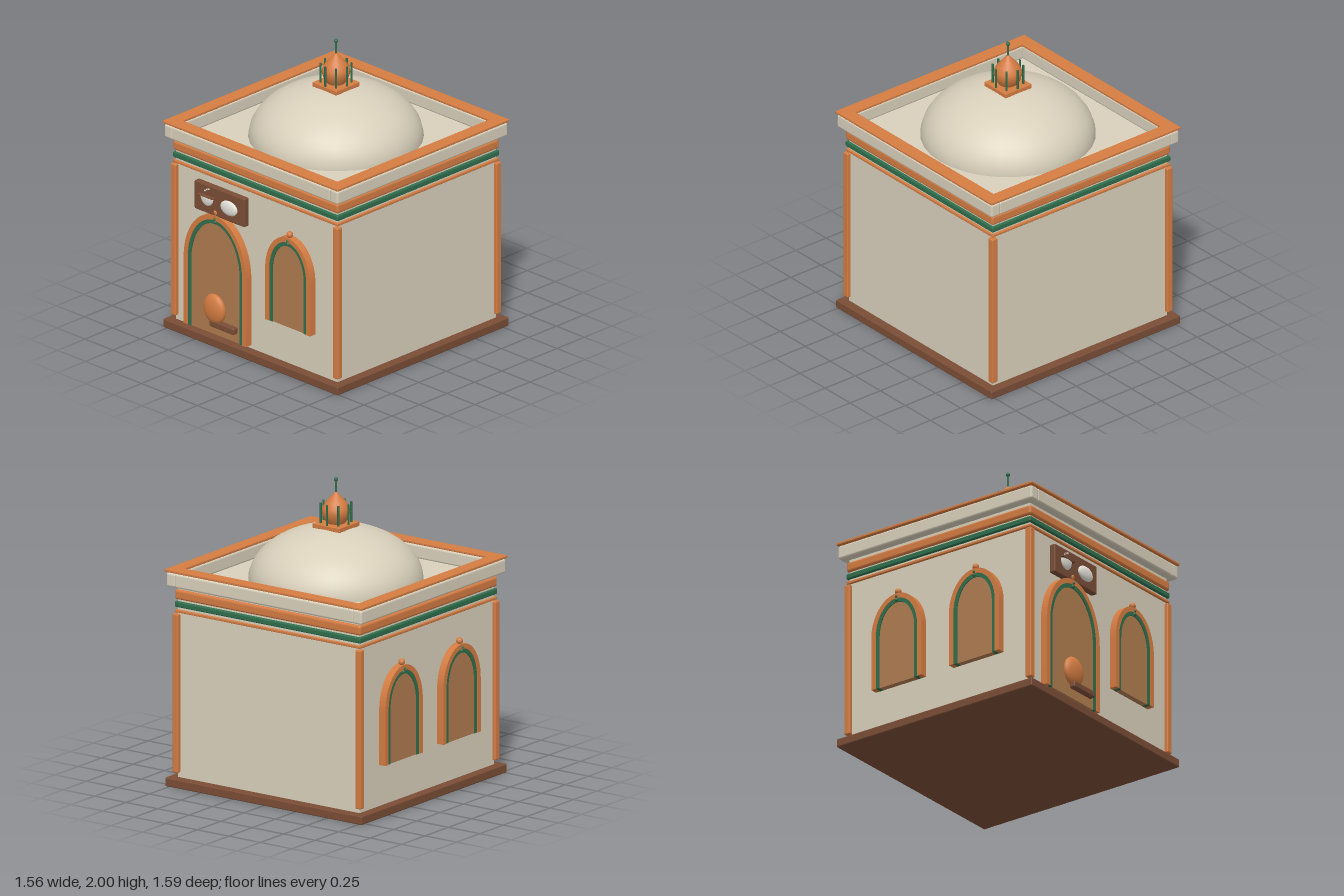
import * as THREE from 'three';
import { toCreasedNormals } from 'three/addons/utils/BufferGeometryUtils.js';
import { RoundedBoxGeometry } from 'three/addons/geometries/RoundedBoxGeometry.js';

const material = (name, color) => Object.assign(new THREE.MeshStandardMaterial({ color }), { name });
const plaster = material('plaster', 0xd9d0bb);
const terracotta = material('terracotta', 0xd47c42);
const green = material('green', 0x2f6e4c);
const brown = material('brown', 0x7a4d36);
const wood = material('wood', 0xb07c50);
const porcelain = material('porcelain', 0xe6e3da);

function add(parent, name, geometry, mat, x = 0, y = 0, z = 0) {
  const mesh = new THREE.Mesh(geometry, mat);
  mesh.name = name;
  mesh.position.set(x, y, z);
  parent.add(mesh);
  return mesh;
}

function subgroup(parent, name, x, y, z) {
  const g = new THREE.Group();
  g.name = name;
  g.position.set(x, y, z);
  parent.add(g);
  return g;
}

const box = (w, h, d, r = 0) =>
  r ? new RoundedBoxGeometry(w, h, d, 2, r) : new THREE.BoxGeometry(w, h, d);
const ball = (r) => new THREE.SphereGeometry(r, 16, 12);
const extrude = (shape, depth) => toCreasedNormals(
  new THREE.ExtrudeGeometry(shape, { depth, bevelEnabled: false, curveSegments: 20 }), 0.6);

// Solid arch, or an arch-shaped band open at the bottom when t is given
function arch(w, spring, rise, t = 0) {
  const s = new THREE.Shape();
  s.moveTo(w, 0);
  s.lineTo(w, spring);
  s.absellipse(0, spring, w, rise, 0, Math.PI, false);
  s.lineTo(-w, 0);
  if (t) {
    s.lineTo(t - w, 0);
    s.lineTo(t - w, spring);
    s.absellipse(0, spring, w - t, rise - t, Math.PI, 0, true);
    s.lineTo(w - t, 0);
  }
  s.closePath();
  return s;
}

// Framed arched opening standing out from a wall; faces local +z
function archedOpening(parent, name, w, spring, rise, x, y, z) {
  const g = subgroup(parent, name, x, y, z);
  const top = spring + rise;
  add(g, 'archFrame', extrude(arch(w, spring, rise, 0.034), 0.05), terracotta);
  add(g, 'archInlay', extrude(arch(w - 0.034, spring, rise - 0.034, 0.026), 0.046), green);
  add(g, 'archPanel', extrude(arch(w - 0.06, spring, rise - 0.06), 0.04), wood);
  add(g, 'crownBall', ball(0.022), terracotta, 0, top + 0.018, 0.03);
  add(g, 'upperStud', ball(0.009), green, 0, top - 0.023, 0.05);
  add(g, 'lowerStud', ball(0.012), green, 0, top - 0.046, 0.046);
  return g;
}

// Square ring built from four bars
function squareRing(parent, name, half, width, y, h, mat, r) {
  const g = subgroup(parent, name, 0, y, 0);
  for (const s of [-1, 1]) {
    add(g, name + 'Side', box(width, h, half * 2, r), mat, s * (half - width / 2), 0, 0);
    add(g, name + 'End', box((half - width) * 2 + 0.02, h, width, r), mat, 0, 0, s * (half - width / 2));
  }
}

export function createModel() {
  const model = new THREE.Group();
  model.name = 'domedHouse';
  const house = subgroup(model, 'house', 0, 0, -0.015);

  // Base, walls and corner posts
  add(house, 'basePlate', box(1.56, 0.058, 1.56, 0.008), brown, 0, 0.029, 0);
  add(house, 'walls', box(1.44, 1.275, 1.44), plaster, 0, 0.6875, 0);
  for (const x of [-1, 1]) for (const z of [-1, 1]) {
    add(house, 'cornerPost', box(0.045, 1.05, 0.045, 0.008), terracotta, x * 0.724, 0.615, z * 0.724);
  }

  // Bands under the cornice: centre height, thickness, half width
  for (const [y, h, half, mat] of [
    [1.158, 0.018, 0.735, terracotta],
    [1.203, 0.038, 0.737, green],
    [1.268, 0.066, 0.737, terracotta],
  ]) add(house, 'wallBand', box(half * 2, h, half * 2, h * 0.25), mat, 0, y, 0);

  // Parapet and coping around the flat roof
  squareRing(house, 'parapet', 0.775, 0.075, 1.368, 0.094, plaster, 0.015);
  squareRing(house, 'copingBed', 0.755, 0.045, 1.415, 0.012, plaster, 0);
  squareRing(house, 'coping', 0.782, 0.092, 1.428, 0.018, terracotta, 0.005);

  // Dome
  const dome = add(house, 'dome',
    new THREE.SphereGeometry(0.56, 32, 16, 0, Math.PI * 2, 0, Math.PI / 2), plaster, 0, 1.325, 0);
  dome.scale.y = 0.355 / 0.56;

  // Lantern on the dome
  const lantern = subgroup(house, 'lantern', 0, 0, 0);
  add(lantern, 'lanternPlate', box(0.215, 0.03, 0.215, 0.004), terracotta, 0, 1.685, 0);
  const bulb = [[0.055, 1.695], [0.08, 1.73], [0.092, 1.77], [0.088, 1.8], [0.068, 1.835],
    [0.04, 1.865], [0.018, 1.89], [0, 1.91]].map(([r, y]) => new THREE.Vector2(r, y));
  add(lantern, 'lanternBulb', new THREE.LatheGeometry(bulb, 24), terracotta);
  for (let i = 0; i < 8; i++) {
    const a = i * Math.PI / 4;
    add(lantern, 'lanternRod', new THREE.CylinderGeometry(0.007, 0.007, 0.135, 8), green,
      Math.cos(a) * 0.098, 1.767, Math.sin(a) * 0.098);
  }
  add(lantern, 'spire', new THREE.CylinderGeometry(0.007, 0.007, 0.1, 8), green, 0, 1.935, 0);
  add(lantern, 'spireBall', ball(0.014), green, 0, 1.986, 0);

  // Door and windows
  const wall = 0.72;
  archedOpening(house, 'door', 0.278, 0.46, 0.37, -0.327, 0.08, wall);
  archedOpening(house, 'frontWindow', 0.2, 0.36, 0.265, 0.323, 0.33, wall);
  for (const z of [-0.31, 0.31]) {
    archedOpening(house, 'sideWindow', 0.2, 0.36, 0.265, -wall, 0.33, z).rotation.y = -Math.PI / 2;
  }

  // Round pot and wooden bar in front of the door
  const pot = add(house, 'pot', new THREE.SphereGeometry(1, 24, 16), terracotta, -0.327, 0.262, 0.77);
  pot.scale.set(0.092, 0.102, 0.042);
  add(house, 'potBar', box(0.22, 0.045, 0.045, 0.01), brown, -0.242, 0.167, 0.777);

  // Sign board with a bowl and a plate
  const sign = subgroup(house, 'sign', -0.292, 1.002, wall);
  add(sign, 'signBoard', box(0.446, 0.196, 0.045, 0.008), brown, 0, 0, 0.0225);
  const plate = add(sign, 'plate', new THREE.SphereGeometry(1, 24, 16), porcelain, 0.092, -0.002, 0.05);
  plate.scale.set(0.074, 0.05, 0.02);
  const bowl = add(sign, 'bowl',
    new THREE.SphereGeometry(1, 24, 8, 0, Math.PI * 2, Math.PI / 2, Math.PI / 2), porcelain, -0.107, 0.02, 0.045);
  bowl.scale.set(0.056, 0.066, 0.022);
  add(sign, 'bowlRim', box(0.135, 0.007, 0.04, 0.003), brown, -0.104, 0.024, 0.05);
  for (const [x, y] of [[-0.125, 0.055], [-0.108, 0.068], [-0.09, 0.074]]) {
    add(sign, 'steamDot', ball(0.006), porcelain, x, y, 0.046);
  }
  add(sign, 'signStud', ball(0.01), terracotta, -0.035, -0.068, 0.045);

  return model;
}
